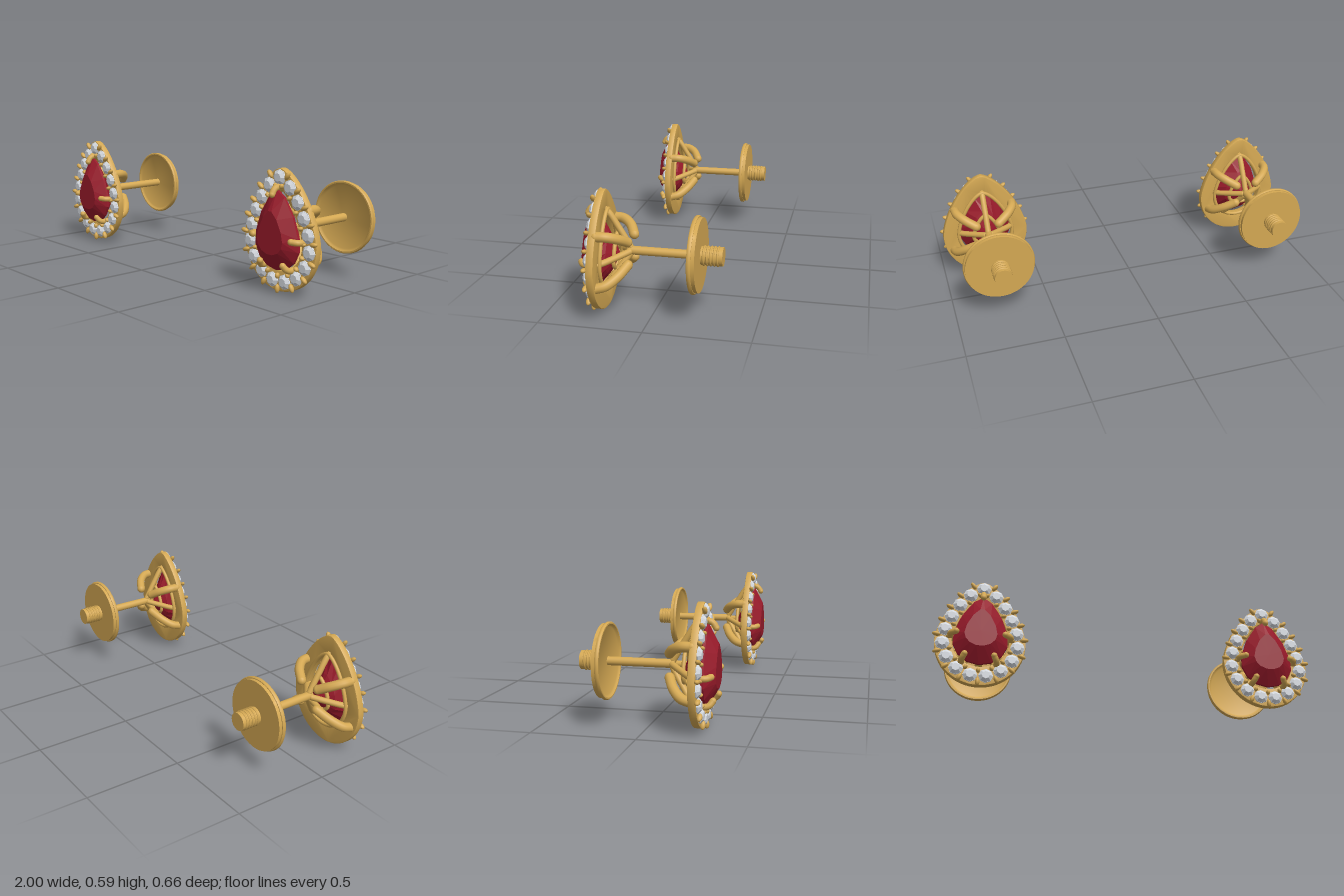
import * as THREE from 'three';
import { toCreasedNormals } from 'three/addons/utils/BufferGeometryUtils.js';

const gold = new THREE.MeshStandardMaterial({ color: 0xd4a853 });
gold.name = 'gold';
const red = new THREE.MeshStandardMaterial({ color: 0x981a2a });
red.name = 'red gem';
const clear = new THREE.MeshStandardMaterial({ color: 0xd6dae0 });
clear.name = 'clear stone';

const V = (x, y, z) => new THREE.Vector3(x, y, z);
const AXIS_Y = 0.303;

function add(parent, name, geometry, material) {
  const mesh = new THREE.Mesh(geometry, material);
  mesh.name = name;
  parent.add(mesh);
  return mesh;
}

// Pear outline, counterclockwise from the tip: half ellipse below, pointed superellipse above
function pear(w, bottom, top, count, z = 0, yc = 0.25, shift = 0) {
  const p = [];
  for (let i = 0; i < count; i++) {
    const a = Math.PI / 2 + ((i + shift) / count) * Math.PI * 2;
    const c = Math.cos(a), s = Math.sin(a);
    if (s < 0) p.push(V(w * c, yc + (yc - bottom) * s, z));
    else p.push(V(w * Math.sign(c) * Math.abs(c) ** 1.33, yc + (top - yc) * s ** 1.33, z));
  }
  return p;
}

// Rod along a smooth path, with rounded ends
function rod(parent, name, points, r) {
  const g = new THREE.Group();
  g.name = name;
  const curve = new THREE.CatmullRomCurve3(points);
  add(g, 'rod', new THREE.TubeGeometry(curve, 28, r, 12), gold);
  for (const p of [points[0], points[points.length - 1]]) {
    add(g, 'rodEnd', new THREE.SphereGeometry(r, 12, 8), gold).position.copy(p);
  }
  parent.add(g);
}

// Flat faceted solid from a stack of equal loops, ordered back to front
function facetedLoops(loops) {
  const pos = [], n = loops[0].length;
  const tri = (...v) => v.forEach((p) => pos.push(p.x, p.y, p.z));
  for (let k = 0; k < loops.length - 1; k++) {
    for (let i = 0; i < n; i++) {
      const j = (i + 1) % n, a = loops[k], b = loops[k + 1];
      tri(a[i], a[j], b[i]);
      tri(a[j], b[j], b[i]);
    }
  }
  const g = new THREE.BufferGeometry();
  g.setAttribute('position', new THREE.Float32BufferAttribute(pos, 3));
  g.computeVertexNormals();
  return g;
}

function createHalo(parent) {
  // Pear-shaped plate with a pear opening
  const shape = new THREE.Shape(pear(0.226, 0.014, 0.591, 72));
  shape.holes.push(new THREE.Path(pear(0.147, 0.107, 0.503, 72).reverse()));
  const plate = new THREE.ExtrudeGeometry(shape, {
    depth: 0.029, bevelEnabled: true, bevelThickness: 0.003, bevelSize: 0.004, bevelSegments: 2,
  });
  plate.translate(0, 0, 0.232);
  add(parent, 'haloPlate', toCreasedNormals(plate, 0.6), gold);

  // Round stones, with gold beads between them inside and out
  const COUNT = 17;
  const path = new THREE.CatmullRomCurve3(pear(0.19, 0.057, 0.553, 72, 0.264), true);
  const stoneGeo = new THREE.CylinderGeometry(0.02, 0.037, 0.014, 8).rotateX(Math.PI / 2).toNonIndexed();
  stoneGeo.computeVertexNormals();
  const girdleGeo = new THREE.CylinderGeometry(0.037, 0.037, 0.006, 8).rotateX(Math.PI / 2).toNonIndexed();
  girdleGeo.computeVertexNormals();
  const beadGeo = new THREE.SphereGeometry(1, 12, 8);
  for (let i = 0; i < COUNT; i++) {
    const p = path.getPointAt(i / COUNT);
    add(parent, 'haloStone', stoneGeo, clear).position.set(p.x, p.y, 0.276);
    add(parent, 'haloStoneGirdle', girdleGeo, clear).position.set(p.x, p.y, 0.267);

    const u = (i + 0.5) / COUNT;
    const q = path.getPointAt(u), t = path.getTangentAt(u);
    const n = V(t.y, -t.x, 0).normalize();
    for (const [offset, length, width] of [[0.033, 0.022, 0.011], [-0.03, 0.014, 0.01]]) {
      const bead = add(parent, 'haloBead', beadGeo, gold);
      bead.position.copy(q).addScaledVector(n, offset).setZ(0.273);
      bead.scale.set(length, width, 0.013);
      bead.rotation.z = Math.atan2(n.y, n.x);
    }
  }
}

function createCentre(parent) {
  // Pear-cut gem: culet, girdle, crown and table
  const N = 14;
  add(parent, 'centreGem', facetedLoops([
    pear(0.001, 0.279, 0.281, N, 0.163, 0.28, 0.5),
    pear(0.085, 0.18, 0.395, N, 0.215, 0.26, 0.5),
    pear(0.14, 0.115, 0.495, N, 0.27),
    pear(0.14, 0.115, 0.495, N, 0.283),
    pear(0.082, 0.195, 0.405, N, 0.33, 0.265, 0.5),
    pear(0.0005, 0.2795, 0.2805, N, 0.33, 0.28, 0.5),
  ]), red);

  // Basket rings behind the gem
  const rings = [[0.147, 0.11, 0.5, 0.222, 0.01], [0.072, 0.215, 0.385, 0.177, 0.01]];
  for (const [w, bottom, top, z, r] of rings) {
    const path = new THREE.CatmullRomCurve3(pear(w, bottom, top, 48, z, 0.26), true);
    add(parent, 'basketRing', new THREE.TubeGeometry(path, 72, r, 10, true), gold);
  }

  // Five claws hooked over the gem and gathered at the post
  const claws = [[0, 0.495], [0.14, 0.272], [-0.14, 0.272], [0.082, 0.138], [-0.082, 0.138]];
  for (const [x, y] of claws) {
    const out = V(x, y - 0.29, 0).normalize();
    const at = (d, z) => V(x, y, z).addScaledVector(out, d);
    const mid = V(x * 0.55, AXIS_Y + (y - AXIS_Y) * 0.55, 0.168);
    const end = V(out.x * 0.018, AXIS_Y + out.y * 0.018, 0.115);
    rod(parent, 'claw', [at(-0.018, 0.316), at(0.006, 0.3), at(0.013, 0.275), at(0, 0.23), mid, end], 0.0155);
  }

  // Four heavy arms behind the plate
  for (const s of [-1, 1]) {
    rod(parent, 'upperArm', [V(s * 0.155, 0.412, 0.235), V(s * 0.148, 0.41, 0.19),
      V(s * 0.115, 0.393, 0.145), V(s * 0.06, 0.362, 0.112)], 0.024);
    rod(parent, 'lowerArm', [V(s * 0.18, 0.168, 0.235), V(s * 0.168, 0.18, 0.19),
      V(s * 0.125, 0.212, 0.145), V(s * 0.06, 0.25, 0.112)], 0.024);
  }
}

function createPostAndBack(parent) {
  // Everything here turns around the z axis
  const g = new THREE.Group();
  g.name = 'postAndBack';
  g.position.y = AXIS_Y;
  parent.add(g);
  const post = new THREE.CylinderGeometry(0.021, 0.021, 0.33, 24).rotateX(Math.PI / 2);
  add(g, 'post', post, gold).position.z = -0.04;

  // Dished disc with a rolled rim
  const profile = [[0, -0.226], [0.177, -0.226], [0.177, -0.209], [0.181, -0.209], [0.185, -0.204],
    [0.185, -0.195], [0.181, -0.19], [0.174, -0.19], [0.168, -0.196], [0.16, -0.201], [0, -0.201]];
  const disc = new THREE.LatheGeometry(profile.map(([r, z]) => new THREE.Vector2(r, z)), 56);
  add(g, 'backDisc', toCreasedNormals(disc.rotateX(Math.PI / 2), 0.7), gold);

  // Ridged barrel
  const barrel = new THREE.CylinderGeometry(0.044, 0.044, 0.106, 32).rotateX(Math.PI / 2);
  add(g, 'barrel', barrel, gold).position.z = -0.277;
  for (let i = 0; i < 5; i++) {
    add(g, 'barrelRidge', new THREE.TorusGeometry(0.043, 0.0055, 8, 32), gold).position.z = -0.24 - i * 0.0165;
  }
  const cap = new THREE.CylinderGeometry(0.045, 0.045, 0.015, 32).rotateX(Math.PI / 2);
  add(g, 'barrelCap', cap, gold).position.z = -0.3225;
}

export function createModel() {
  const model = new THREE.Group();
  model.name = 'earrings';
  for (const [name, x] of [['leftEarring', 0.757], ['rightEarring', -0.757]]) {
    const earring = new THREE.Group();
    earring.name = name;
    earring.position.x = x;
    createHalo(earring);
    createCentre(earring);
    createPostAndBack(earring);
    model.add(earring);
  }
  return model;
}
